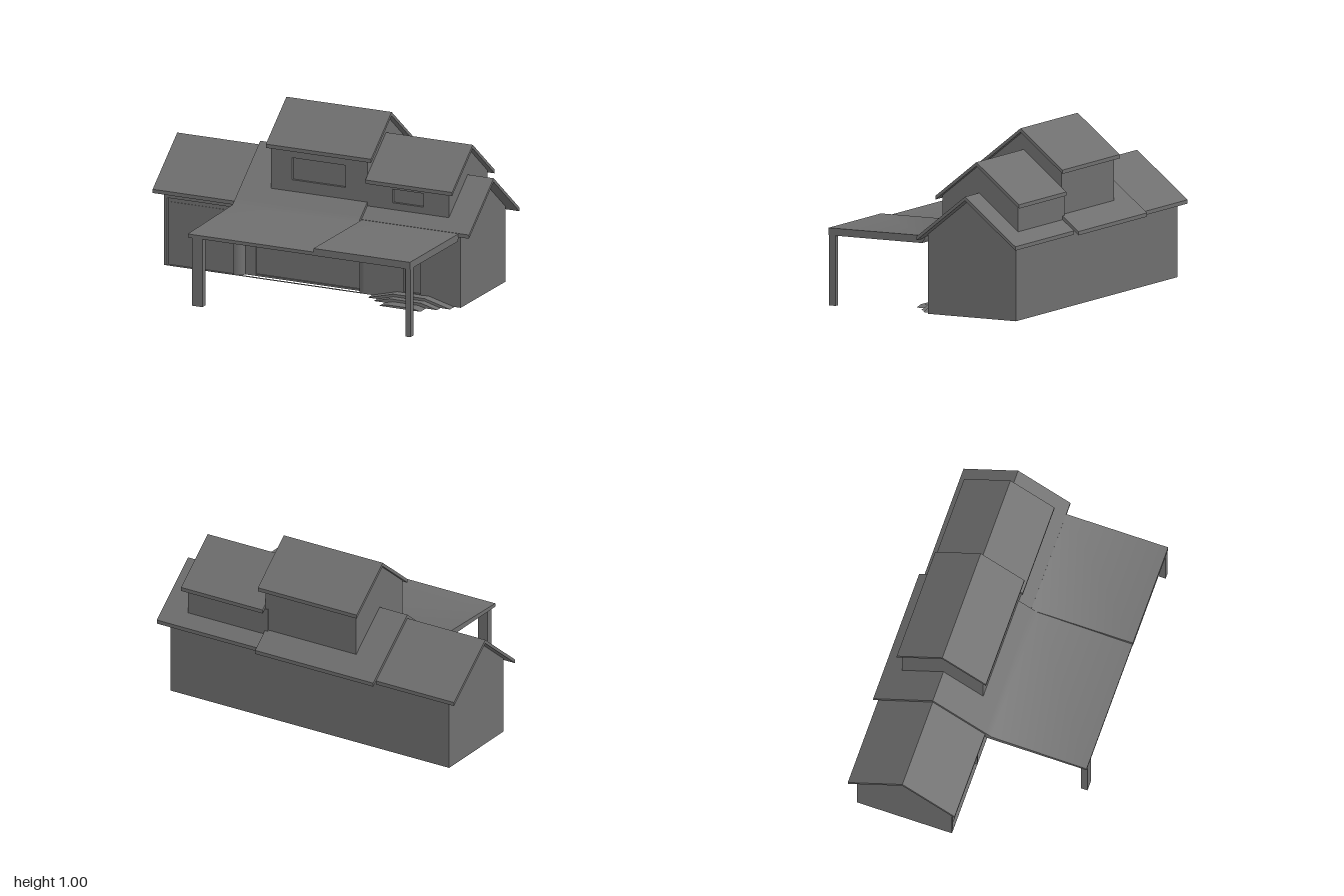
import * as THREE from 'three';
import { toCreasedNormals } from 'three/addons/utils/BufferGeometryUtils.js';

const SLOPE = 0.8, RIDGE_Z = -0.283, THICK = 0.022;
const mat = new THREE.MeshStandardMaterial({ color: 0x6f6f6f, side: THREE.DoubleSide });

function add(group, name, geometry) {
  const mesh = new THREE.Mesh(geometry, mat);
  mesh.name = name;
  group.add(mesh);
  return mesh;
}

// Box given by its limits
function box(group, name, x0, x1, y0, y1, z0, z1) {
  const m = add(group, name, new THREE.BoxGeometry(x1 - x0, y1 - y0, z1 - z0));
  m.position.set((x0 + x1) / 2, (y0 + y1) / 2, (z0 + z1) / 2);
}

// Shape from [z, y] points; u = -z so that a quarter turn about y puts it side-on
const sideShape = pts => new THREE.Shape(pts.map(([z, y]) => new THREE.Vector2(-z, y)));

// Side profile swept along x, with gentle bends shaded smoothly
function sweep(group, name, pts, x0, x1) {
  const g = new THREE.ExtrudeGeometry(sideShape(pts), { depth: x1 - x0, bevelEnabled: false });
  g.rotateY(Math.PI / 2).translate(x0, 0, 0);
  add(group, name, toCreasedNormals(g, 0.72));
}

const roofY = (ridge, z) => ridge - SLOPE * Math.abs(z - RIDGE_Z);

// Gabled roof slab
function roof(group, name, x0, x1, ridge, zf, zb) {
  const top = [zf, RIDGE_Z, zb].map(z => [z, roofY(ridge, z)]);
  const under = top.map(([z, y]) => [z, y - THICK]).reverse();
  sweep(group, name, [...top, ...under], x0, x1);
}

// Wall facing z with rectangular openings [x0, x1, y0, y1]
function wall(group, name, x0, x1, y0, y1, z, holes = []) {
  const rect = (S, a, b, c, d) => new S([[a, c], [b, c], [b, d], [a, d]].map(p => new THREE.Vector2(...p)));
  const s = rect(THREE.Shape, x0, x1, y0, y1);
  s.holes = holes.map(h => rect(THREE.Path, ...h));
  const depth = holes.length ? 0.016 : 0.004;
  const g = new THREE.ExtrudeGeometry(s, { depth, bevelEnabled: false });
  add(group, name, g.translate(0, 0, z > RIDGE_Z ? z - depth : z));
}

// Hollow storey under a gabled roof, open below; openings [x0, x1, y0, y1, recess]
function storey(group, name, x0, x1, y0, ridge, zf, zb, holes) {
  const g = new THREE.Group();
  g.name = name;
  const r = ridge - THICK;
  wall(g, 'frontWall', x0, x1, y0, roofY(r, zf), zf, holes);
  wall(g, 'backWall', x0, x1, y0, roofY(r, zb), zb);
  const gable = [[zf, y0], [zf, roofY(r, zf)], [RIDGE_Z, r], [zb, roofY(r, zb)], [zb, y0]];
  for (const x of [x0, x1]) {
    const s = new THREE.ShapeGeometry(sideShape(gable));
    add(g, 'gableWall', s.rotateY(Math.PI / 2).translate(x, 0, 0));
  }
  // Recessed panels close the openings
  for (const [a, b, c, d, recess = 0.016] of holes) {
    box(g, 'recessedPanel', a, b, c, d, zf - recess - 0.006, zf - recess);
  }
  group.add(g);
}

export function createModel() {
  const house = new THREE.Group();
  house.name = 'house';

  // Ground floor with side garage, deep-set middle bay and front door
  storey(house, 'groundFloor', -0.945, 0.93, 0, 0.70, -0.005, -0.575, [
    [-0.925, -0.505, 0.003, 0.4],
    [-0.5, 0.32, 0.001, 0.41, 0.05],
    [0.57, 0.68, 0.045, 0.27],
  ]);
  box(house, 'garageWindowStrip', -0.91, -0.52, 0.325, 0.375, -0.029, -0.018);

  // Rounded corners leading into the middle bay, with a slim frame round its door
  for (const [x, start] of [[-0.5, 0], [0.32, -Math.PI / 2]]) {
    const g = new THREE.CylinderGeometry(0.05, 0.05, 0.41, 10, 1, true, start, Math.PI / 2);
    add(house, 'roundedCorner', g.translate(x, 0.205, -0.055));
  }
  box(house, 'bayJamb', -0.45, -0.385, 0, 0.41, -0.057, -0.045);
  box(house, 'baySill', -0.385, 0.27, 0, 0.01, -0.057, -0.045);

  // Wing roofs
  roof(house, 'rightWingRoof', -1, -0.475, 0.70, 0.03, -0.61);
  roof(house, 'leftWingRoof', 0.32, 1, 0.70, 0.03, -0.61);

  // Raised middle roof running on into the porch roof
  const back = roofY(0.722, -0.64);
  sweep(house, 'middleRoofAndPorch', [
    [-0.64, back], [RIDGE_Z, 0.722], [0.03, roofY(0.722, 0.03)], [0.07, roofY(0.722, 0.07)],
    [0.638, 0.422], [0.638, 0.402], [0.035, 0.402], [0.025, 0.445],
    [RIDGE_Z, 0.722 - THICK], [-0.64, back - THICK],
  ], -0.475, 0.32);

  // Side porch roof springing from the wing eave
  sweep(house, 'sidePorchRoof', [
    [0.015, 0.46], [0.033, 0.4455], [0.64, 0.444], [0.64, 0.402], [0.035, 0.402], [0.015, 0.43],
  ], 0.32, 0.93);

  // Porch posts
  box(house, 'porchPost', -0.45, -0.385, 0, 0.405, 0.595, 0.635);
  box(house, 'porchPost', 0.9, 0.93, 0, 0.405, 0.595, 0.635);

  // Upper storeys with recessed windows
  storey(house, 'tallUpperStorey', -0.29, 0.32, 0.48, 1.005, -0.045, -0.53, [[-0.155, 0.183, 0.6, 0.73]]);
  roof(house, 'tallUpperRoof', -0.31, 0.355, 1.005, -0.022, -0.556);
  storey(house, 'lowUpperStorey', 0.3, 0.836, 0.46, 0.88, -0.045, -0.537, [[0.48, 0.675, 0.55, 0.63]]);
  roof(house, 'lowUpperRoof', 0.32, 0.868, 0.88, -0.02, -0.561);

  // Door frame
  for (const x of [0.56, 0.68]) box(house, 'doorJamb', x, x + 0.01, 0.04, 0.28, -0.01, 0);
  box(house, 'doorLintel', 0.56, 0.69, 0.27, 0.28, -0.01, 0);

  // Entrance steps with ends ramping down to the ground: half widths at base and top, height, reach
  for (const [base, top, h, reach] of [[0.26, 0.1, 0.042, 0.05], [0.2, 0.1, 0.027, 0.095], [0.13, 0.08, 0.012, 0.165]]) {
    const s = new THREE.Shape([[-base, 0], [base, 0], [top, h], [-top, h]].map(p => new THREE.Vector2(...p)));
    const g = new THREE.ExtrudeGeometry(s, { depth: reach + 0.004, bevelEnabled: false });
    add(house, 'entranceStep', g.translate(0.63, 0, -0.004));
  }

  return house;
}
